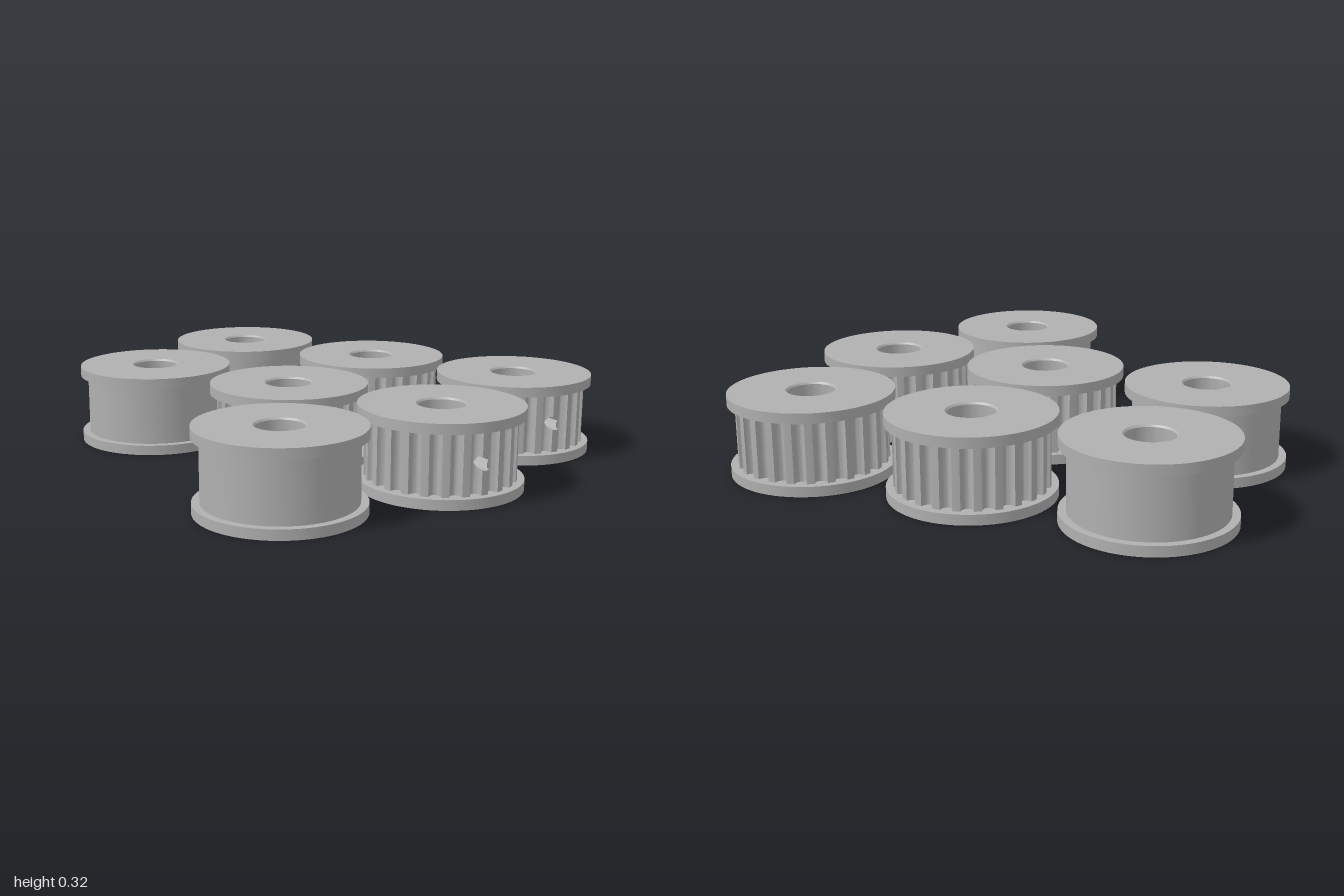
import * as THREE from 'three';
import { toCreasedNormals } from 'three/addons/utils/BufferGeometryUtils.js';

const H = 0.32, FLANGE_R = 0.318, FLANGE_H = 0.04, BODY_R = 0.29;
const BORE = 0.09, CHAMFER = 0.007, CORE = 0.12;
const TEETH = 24, GROOVE = 0.03;
const HOLE_R = 0.029, HOLE_ANGLE = Math.PI / 6;

// Bored spool with a flange at each end; waist is the radius between the flanges
function spool(waist) {
  const p = [
    [BORE, CHAMFER], [BORE + CHAMFER, 0], [FLANGE_R, 0], [FLANGE_R, FLANGE_H],
    [waist, FLANGE_H], [waist, H - FLANGE_H], [FLANGE_R, H - FLANGE_H], [FLANGE_R, H],
    [BORE + CHAMFER, H], [BORE, H - CHAMFER], [BORE, CHAMFER],
  ].map(([r, y]) => new THREE.Vector2(r, y));
  return toCreasedNormals(new THREE.LatheGeometry(p, 72), 0.6);
}

// Toothed wall with round-bottomed grooves and a radial set-screw hole
function toothedWall() {
  const pitch = [[0, 0], [0.06, 0], [0.12, 0]];
  for (let i = 0; i <= 10; i++) {
    const a = (i / 10) * Math.PI;
    pitch.push([0.5 - 0.31 * Math.cos(a), GROOVE * Math.sin(a)]);
  }
  pitch.push([0.88, 0], [0.94, 0]);

  const cols = [];
  for (let k = 0; k < TEETH; k++) {
    for (const [t, depth] of pitch) {
      const th = ((k + t) / TEETH) * Math.PI * 2;
      const r = BODY_R - depth;
      const d = th - HOLE_ANGLE;
      const u = r * Math.sin(d);
      const open = Math.cos(d) > 0 && Math.abs(u) < HOLE_R;
      const half = open ? Math.sqrt(HOLE_R ** 2 - u ** 2) : 0;
      const inward = r * Math.cos(d) - CORE + 0.01;
      const x = r * Math.cos(th), z = r * Math.sin(th);
      cols.push({
        x, z, half,
        ix: x - inward * Math.cos(HOLE_ANGLE),
        iz: z - inward * Math.sin(HOLE_ANGLE),
      });
    }
  }

  const pos = [];
  const quad = (a, b, c, d) => pos.push(...a, ...b, ...c, ...a, ...c, ...d);
  const out = (c, y) => [c.x, y, c.z];
  const inn = (c, y) => [c.ix, y, c.iz];
  const mid = H / 2, y0 = FLANGE_H, y1 = H - FLANGE_H;
  cols.forEach((a, i) => {
    const b = cols[(i + 1) % cols.length];
    const al = mid - a.half, bl = mid - b.half, ah = mid + a.half, bh = mid + b.half;
    quad(out(b, y0), out(a, y0), out(a, al), out(b, bl));
    quad(out(b, bh), out(a, ah), out(a, y1), out(b, y1));
    if (a.half || b.half) {
      // floor and ceiling of the screw hole
      quad(out(a, al), inn(a, al), inn(b, bl), out(b, bl));
      quad(out(b, bh), inn(b, bh), inn(a, ah), out(a, ah));
    }
  });
  const g = new THREE.BufferGeometry();
  g.setAttribute('position', new THREE.Float32BufferAttribute(pos, 3));
  return toCreasedNormals(g, 0.6);
}

export function createModel() {
  const model = new THREE.Group();
  model.name = 'pulleySet';
  const metal = new THREE.MeshStandardMaterial({ color: 0xb0b0b0 });
  metal.name = 'grey metal';

  const smoothSpool = spool(BODY_R - 0.002);
  const toothedSpool = spool(CORE);
  const teeth = toothedWall();

  const add = (parent, geometry, name) => {
    const m = new THREE.Mesh(geometry, metal);
    m.name = name;
    parent.add(m);
  };

  // x, z, toothed
  const layout = [
    [-0.681, -0.635, false], [0, -0.635, true], [0.681, -0.635, true],
    [-0.681, 0.045, false], [0, 0.045, true], [0.681, 0.045, true],
    [0.341, 0.635, false],
  ];
  for (const [x, z, toothed] of layout) {
    const pulley = new THREE.Group();
    pulley.name = toothed ? 'toothedPulley' : 'smoothIdler';
    pulley.position.set(x, 0, z);
    add(pulley, toothed ? toothedSpool : smoothSpool, 'flangedSpool');
    if (toothed) add(pulley, teeth, 'beltTeeth');
    model.add(pulley);
  }
  return model;
}
